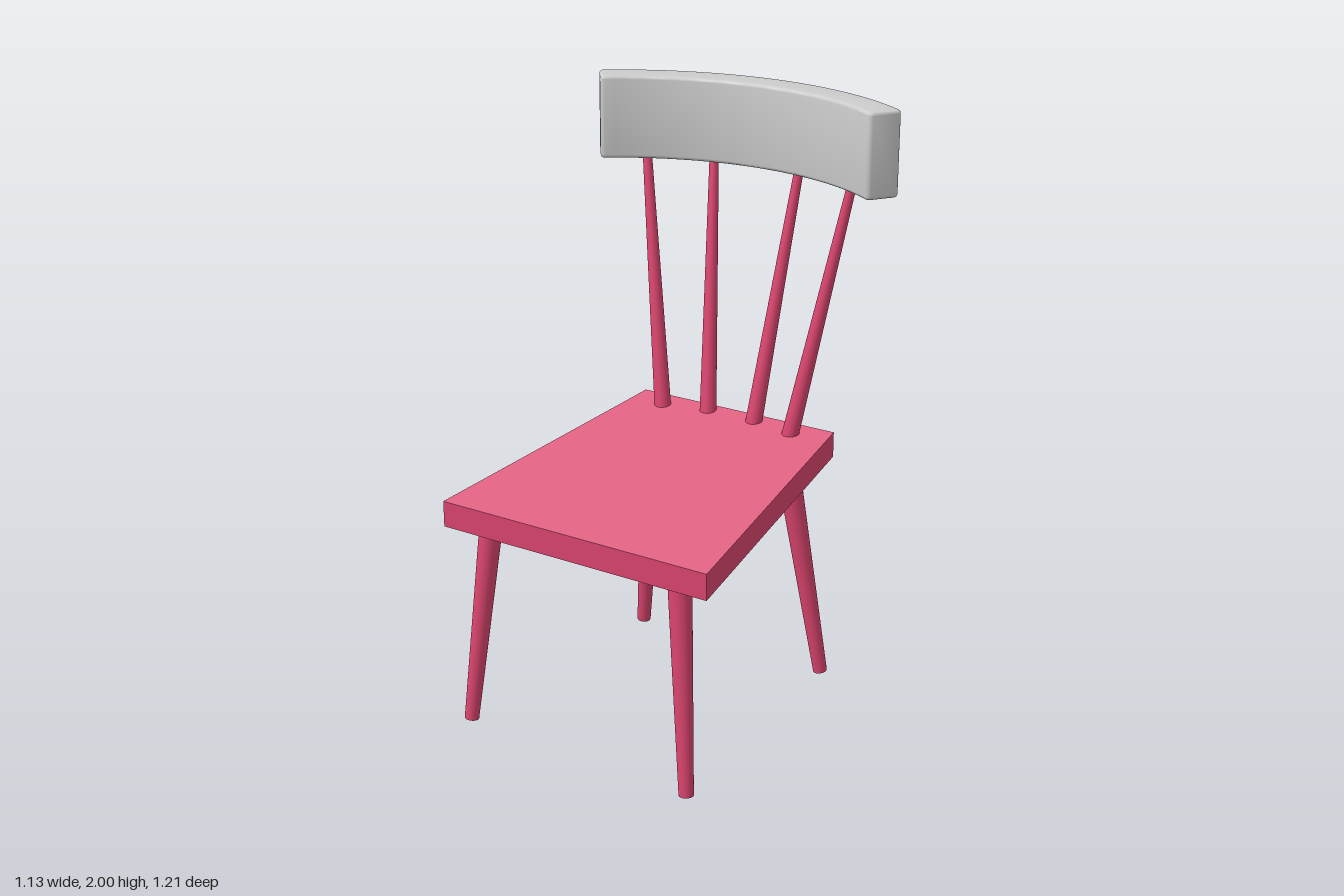
import * as THREE from 'three';
import { toCreasedNormals } from 'three/addons/utils/BufferGeometryUtils.js';

const red = new THREE.MeshStandardMaterial({ color: 0xd9446e });
const paleRed = new THREE.MeshStandardMaterial({ color: 0xe26282 });
const grey = new THREE.MeshStandardMaterial({ color: 0xcccccc });

// Tapered round rod between two points
function rod(name, from, to, rFrom, rTo) {
  const a = new THREE.Vector3(...from);
  const axis = new THREE.Vector3(...to).sub(a);
  const mesh = new THREE.Mesh(new THREE.CylinderGeometry(rTo, rFrom, axis.length(), 32), red);
  mesh.name = name;
  mesh.position.copy(a).addScaledVector(axis, 0.5);
  mesh.quaternion.setFromUnitVectors(new THREE.Vector3(0, 1, 0), axis.normalize());
  return mesh;
}

// Slab that narrows and rises toward the back, with a paler top face
function makeSeat() {
  const geo = new THREE.BoxGeometry(1, 0.088, 0.997);
  const p = geo.attributes.position;
  for (let i = 0; i < p.count; i++) {
    const t = p.getZ(i) > 0 ? 0 : 1; // 0 at the front, 1 at the back
    p.setXYZ(i, p.getX(i) * THREE.MathUtils.lerp(0.993, 0.755, t) - 0.007,
      p.getY(i) + 0.746 + 0.091 * t, p.getZ(i) + 0.095);
  }
  geo.computeVertexNormals();
  const mesh = new THREE.Mesh(geo, [red, red, paleRed, red, red, red]);
  mesh.name = 'seat';
  return mesh;
}

// Curved rail with softened edges: a rounded bar bent round an arc, then extruded upward
function makeBackrest() {
  const bevel = 0.012, corner = 0.004, inner = 0.85, outer = 0.965, centre = 0.361, mid = 0.9075;
  const halfLength = mid * THREE.MathUtils.degToRad(36.5) - bevel - corner;
  const halfThick = (outer - inner) / 2 - bevel - corner;
  const points = [];
  const add = (s, r) => points.push(new THREE.Vector2(
    (mid + r) * Math.sin(s / mid), (mid + r) * Math.cos(s / mid) - centre));
  const corners = [[1, -1], [1, 1], [-1, 1], [-1, -1]];
  corners.forEach(([sx, sr], k) => {
    for (let i = 0; i <= 4; i++) {
      const a = (k - 1 + i / 4) * Math.PI / 2;
      add(sx * halfLength + corner * Math.cos(a), sr * halfThick + corner * Math.sin(a));
    }
    // Long curved sides follow every second corner
    if (k % 2 === 1) {
      for (let i = 1; i < 32; i++) add(sx * halfLength * (1 - i / 16), sr * (halfThick + corner));
    }
  });

  const geo = new THREE.ExtrudeGeometry(new THREE.Shape(points), {
    depth: 0.282 - 2 * bevel, bevelEnabled: true, bevelSize: bevel, bevelThickness: bevel, bevelSegments: 4,
  });
  geo.rotateX(-Math.PI / 2);
  geo.translate(-0.002, 1.718 + bevel, 0);
  const mesh = new THREE.Mesh(toCreasedNormals(geo, 0.7), grey);
  mesh.name = 'backrest';
  return mesh;
}

export function createModel() {
  const chair = new THREE.Group();
  chair.name = 'chair';
  chair.add(makeSeat(), makeBackrest());

  // Splayed legs, foot to seat
  chair.add(
    rod('frontRightLeg', [-0.449, 0.003, 0.56], [-0.385, 0.745, 0.492], 0.024, 0.039),
    rod('frontLeftLeg', [0.413, 0.003, 0.583], [0.347, 0.745, 0.52], 0.024, 0.039),
    rod('backRightLeg', [-0.368, 0.003, -0.358], [-0.27, 0.83, -0.278], 0.024, 0.041),
    rod('backLeftLeg', [0.369, 0.003, -0.357], [0.257, 0.83, -0.278], 0.024, 0.041),
  );

  // Fanned spindles, seat to backrest: base x, base z, top x, top z
  const spindles = [
    [-0.265, -0.33, -0.407, -0.45],
    [-0.099, -0.36, -0.18, -0.522],
    [0.084, -0.357, 0.156, -0.522],
    [0.242, -0.33, 0.395, -0.45],
  ];
  spindles.forEach(([bx, bz, tx, tz], i) =>
    chair.add(rod('spindle' + (i + 1), [bx, 0.86, bz], [tx, 1.77, tz], 0.029, 0.015)));

  return chair;
}
